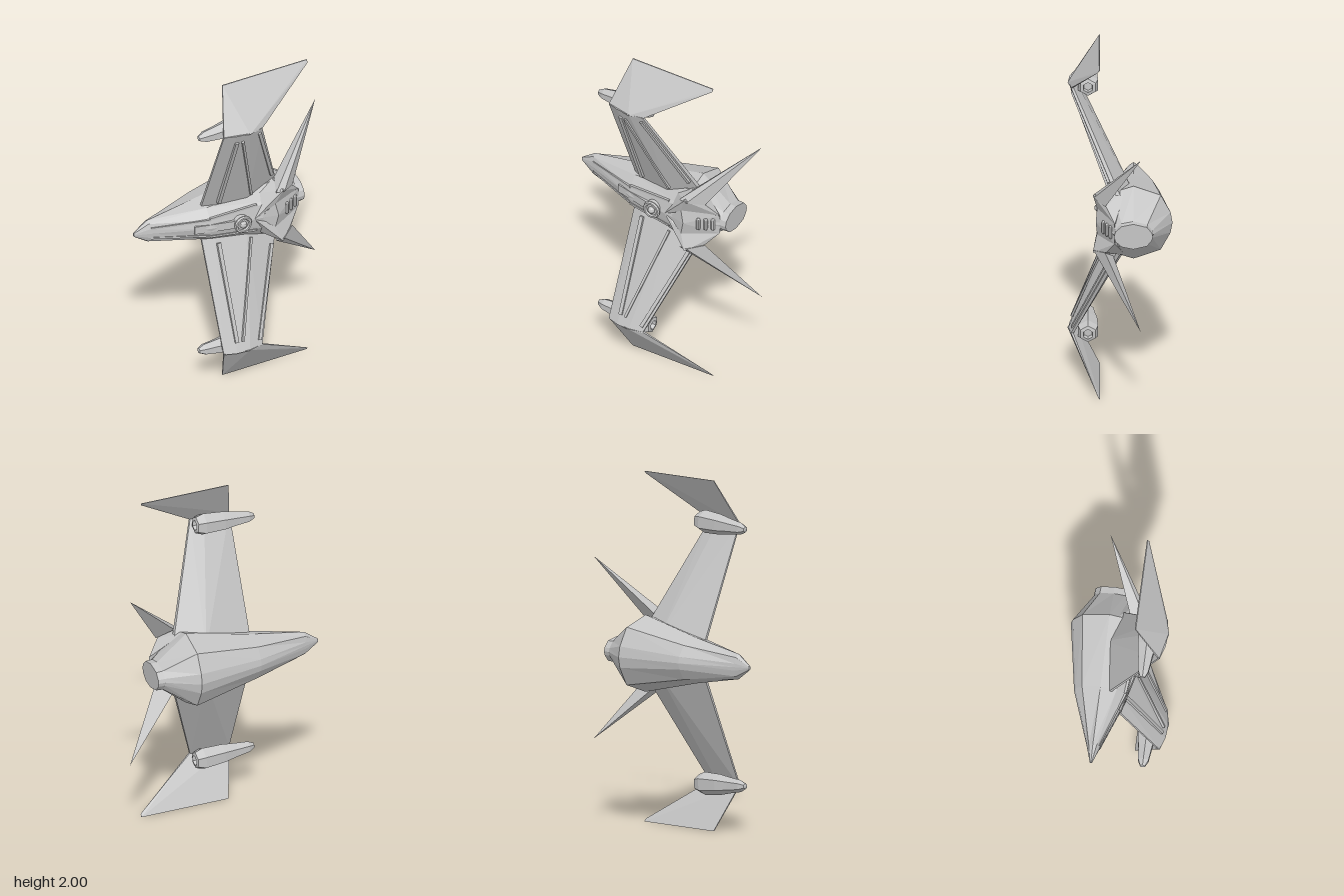
import * as THREE from 'three';
import { ConvexGeometry } from 'three/addons/geometries/ConvexGeometry.js';

const hullGrey = new THREE.MeshStandardMaterial({ color: 0xc4c4c4, flatShading: true });
hullGrey.name = 'hullGrey';
const V = (x, y, z) => new THREE.Vector3(x, y, z);

// Closed loft through rings of equal point count, running along +x
function loft(rings) {
  const n = rings[0].length, pos = [], idx = [];
  rings.forEach(r => r.forEach(p => pos.push(p.x, p.y, p.z)));
  for (let i = 0; i < rings.length - 1; i++) {
    for (let j = 0; j < n; j++) {
      const a = i * n + j, b = i * n + (j + 1) % n;
      idx.push(a, b, b + n, a, b + n, a + n);
    }
  }
  const e = (rings.length - 1) * n;
  for (let j = 1; j < n - 1; j++) {
    idx.push(0, j + 1, j);
    idx.push(e, e + j, e + j + 1);
  }
  const g = new THREE.BufferGeometry();
  g.setAttribute('position', new THREE.Float32BufferAttribute(pos, 3));
  g.setIndex(idx);
  const flat = g.toNonIndexed();
  flat.computeVertexNormals();
  return flat;
}

// Box strip running from a to b, its top facing +z
function bar(a, b, width, height) {
  const dir = b.clone().sub(a), len = dir.length();
  dir.normalize();
  const side = V(0, 0, 1).cross(dir).normalize();
  const up = dir.clone().cross(side);
  const g = new THREE.BoxGeometry(width, height, len);
  const m = new THREE.Matrix4().makeBasis(side, up, dir);
  m.setPosition(a.clone().add(b).multiplyScalar(0.5));
  return g.applyMatrix4(m);
}

// Faceted hull cross-section (half width, back z, front z), running back, +y, front, -y
function hullRing([x, w, zb, zf]) {
  const c = -0.075, b = zb - c, f = zf - c;
  const half = [[0, zb], [0.28 * w, c + 0.95 * b], [0.75 * w, c + 0.7 * b], [w, c],
    [0.82 * w, c + 0.6 * f], [0.4 * w, c + 0.92 * f], [0, zf]];
  const pts = half.map(([y, z]) => V(x, y, z));
  for (let i = half.length - 2; i > 0; i--) pts.push(V(x, -half[i][0], half[i][1]));
  return pts;
}

export function createModel() {
  const root = new THREE.Group();
  root.name = 'spacecraft';
  const body = new THREE.Group();
  body.name = 'body';
  body.position.y = 1;
  root.add(body);
  const add = (name, g) => {
    const m = new THREE.Mesh(g, hullGrey);
    m.name = name;
    body.add(m);
    return m;
  };

  // Fuselage with tapered tail, ending in the straight engine nozzle
  add('fuselage', loft([
    [-0.595, 0.012, -0.082, -0.068], [-0.51, 0.072, -0.108, -0.04],
    [-0.18, 0.13, -0.225, 0.08], [0.22, 0.22, -0.295, 0.13],
    [0.4, 0.078, -0.187, 0.037], [0.44, 0.076, -0.185, 0.035],
  ].map(hullRing)));

  // Vent panel sunk between the two shoulders of the hump
  add('ventPanel', new ConvexGeometry([
    V(0.12, 0, 0.115), V(0.2, 0.09, 0.13), V(0.2, -0.09, 0.13), V(0.22, 0, 0.138),
    V(0.4, 0.06, 0.033), V(0.4, -0.06, 0.033), V(0.25, 0, 0),
  ]));
  for (let i = 0; i < 3; i++) {
    const x = 0.295 + i * 0.036;
    const vent = add('vent', new THREE.CapsuleGeometry(0.013, 0.055, 3, 8));
    vent.position.set(x, 0, 0.138 - (x - 0.22) * 0.58);
  }

  // Round turret and the raised deck in front of it
  const base = add('turret', new THREE.CylinderGeometry(0.045, 0.055, 0.08, 16));
  base.rotation.x = Math.PI / 2;
  base.position.set(0, 0, 0.085);
  const ring = add('turretRing', new THREE.TorusGeometry(0.044, 0.011, 6, 16));
  ring.position.set(0, 0, 0.125);
  const hub = add('turretHub', new THREE.SphereGeometry(0.022, 10, 6));
  hub.position.set(0, 0, 0.125);
  add('deckRidge', bar(V(-0.27, 0, 0.046), V(-0.04, 0, 0.1), 0.05, 0.016));

  // Wing outlines as [x, z], ordered leading edge, front, trailing edge, back
  const inner = [[-0.197, 0.03], [-0.125, 0.06], [0.05, 0.085], [0.25, 0.035],
    [0.25, 0.01], [0.08, -0.04], [-0.197, 0.015]];
  const outer = [[-0.197, 0.265], [-0.125, 0.288], [-0.045, 0.295], [0.04, 0.28],
    [0.04, 0.265], [-0.04, 0.248], [-0.197, 0.255]];
  const section = (pts, y) => pts.map(([x, z]) => V(x, y, z));
  // Root section, carried on inside the fuselage
  const extended = inner.map(([x, z], i) =>
    [x + (x - outer[i][0]) * 0.18, z + (z - outer[i][1]) * 0.18]);

  for (const s of [1, -1]) {
    const side = s > 0 ? 'upper' : 'lower';
    add(side + 'Wing', new ConvexGeometry([...section(extended, s * 0.1), ...section(outer, s * 0.75)]));

    // Swept winglet leaning back from the wing tip
    add(side + 'Winglet', new ConvexGeometry([
      ...section([[-0.197, 0.265], [-0.045, 0.298], [0.04, 0.278], [0.04, 0.266], [-0.197, 0.255]], s * 0.745),
      V(0.41, s * 0.985, 0.126),
      ...section([[-0.13, 0.12], [0.41, 0.118], [0.41, 0.113], [-0.13, 0.114]], s),
    ]));

    // Raised strips on the wing and deck
    const strips = [
      [-0.115, 0.69, 0.266, -0.115, 0.14, 0.046, 0.022],
      [-0.08, 0.69, 0.272, 0.08, 0.15, 0.066, 0.014],
      [0.027, 0.715, 0.27, 0.212, 0.24, 0.064, 0.02],
    ];
    for (const [x1, y1, z1, x2, y2, z2, w] of strips) {
      add('wingStrip', bar(V(x1, s * y1, z1), V(x2, s * y2, z2), w, 0.018));
    }
    add('deckStrip', bar(V(-0.5, s * 0.032, -0.043), V(-0.18, s * 0.053, 0.068), 0.012, 0.012));
    add('deckStrip', bar(V(-0.18, s * 0.06, 0.066), V(0.1, s * 0.085, 0.096), 0.012, 0.014));

    // Hump shoulder that carries the fin
    add(side + 'Shoulder', new ConvexGeometry([
      V(0.08, 0, 0.112), V(0.24, s * 0.175, 0.155), V(0.33, s * 0.14, 0.08), V(0.4, s * 0.06, 0.03),
      V(0.2, s * 0.075, 0.13), V(0.22, s * 0.2, -0.03), V(0.1, s * 0.12, 0.03), V(0.25, s * 0.02, 0),
    ]));

    // Slim tail fin swept back from the shoulder
    add(side + 'Fin', new ConvexGeometry([
      V(0.2, s * 0.165, 0.145), V(0.25, s * 0.16, 0.15), V(0.335, s * 0.14, 0.085),
      V(0.24, s * 0.195, 0.04), V(0.587, s * 0.522, -0.117),
    ]));

    // Six-sided pod behind the wing tip with a recessed exhaust
    const profile = [[0, -0.32], [0.016, -0.315], [0.034, -0.28], [0.045, -0.2], [0.059, -0.12],
      [0.066, 0], [0.05, 0.045], [0.03, 0.05], [0.025, 0.025], [0, 0.025]];
    const podShape = new THREE.LatheGeometry(profile.map(([r, x]) => new THREE.Vector2(r, x)), 6, Math.PI / 6);
    podShape.rotateZ(-Math.PI / 2);
    const pod = add(side + 'Pod', podShape);
    pod.position.set(0, s * 0.748, 0.182);
    pod.rotation.z = s * 0.05;
  }
  return root;
}
